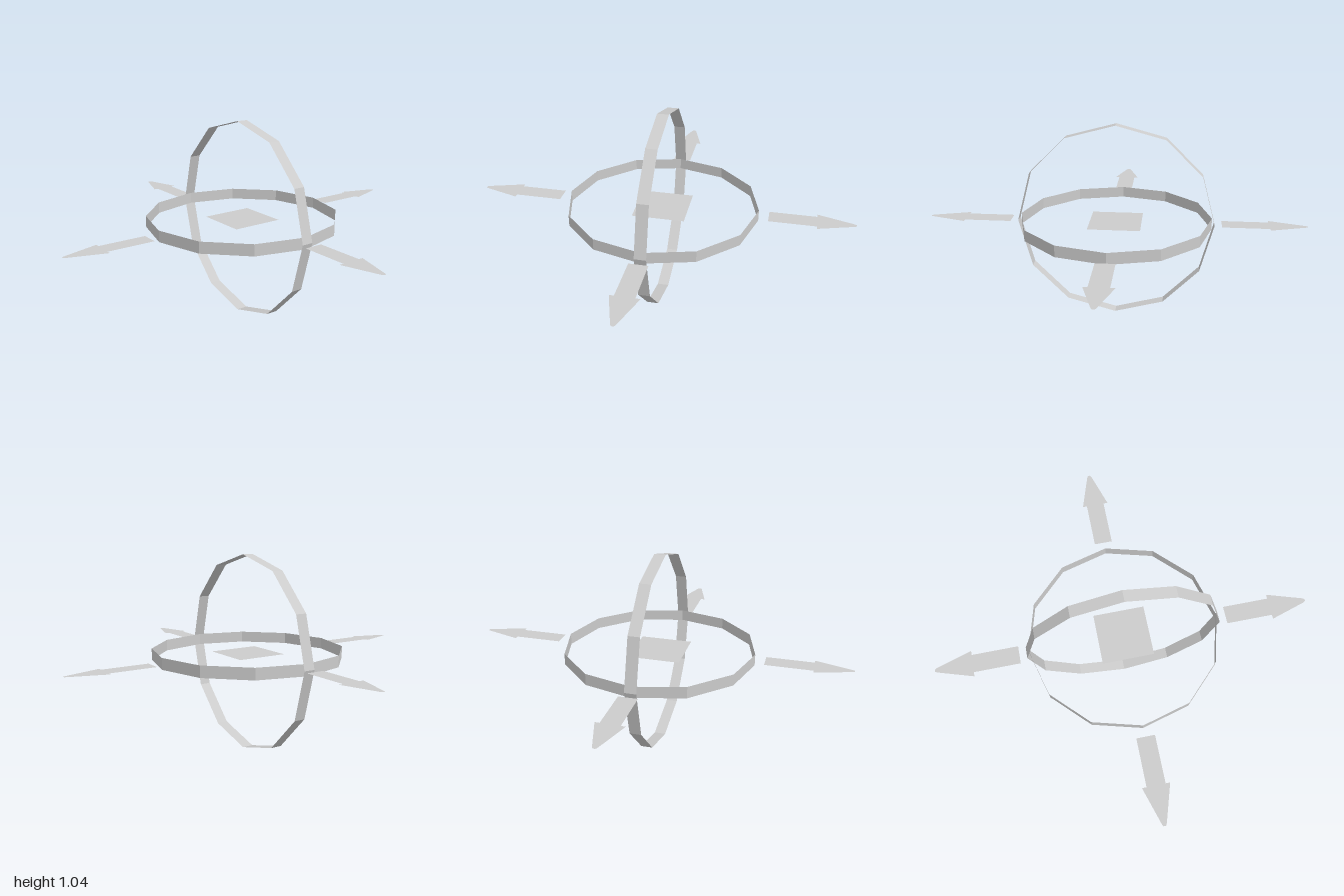
import * as THREE from 'three';

const CENTER_Y = 0.519;
const BAND = 0.06;

export function createModel() {
  const model = new THREE.Group();
  const material = new THREE.MeshStandardMaterial({
    color: 0xcccccc, flatShading: true, side: THREE.DoubleSide,
  });

  const add = (geometry, name) => {
    const mesh = new THREE.Mesh(geometry, material);
    mesh.name = name;
    mesh.position.y = CENTER_Y;
    model.add(mesh);
    return mesh;
  };

  // Twelve-sided paper-thin bands: one level, one upright
  const band = (radius) => new THREE.CylinderGeometry(radius, radius, BAND, 12, 1, true);
  add(band(0.505), 'horizontalRing');
  add(band(0.519).rotateX(Math.PI / 2), 'verticalRing');

  // Flat square in the middle
  add(new THREE.PlaneGeometry(0.274, 0.274).rotateX(-Math.PI / 2), 'centerSquare');

  // Flat arrow with a blunt tip, pointing outwards along +z
  const half = [[0.048, 0.557], [0.048, 0.803], [0.071, 0.803], [0.012, 0.99], [0.006, 1]];
  const mirrored = half.map(([x, d]) => [-x, d]).reverse();
  const outline = [...half, ...mirrored].map(([x, d]) => new THREE.Vector2(x + 0.002, -d));
  const arrow = new THREE.ShapeGeometry(new THREE.Shape(outline)).rotateX(-Math.PI / 2);

  ['frontArrow', 'leftArrow', 'backArrow', 'rightArrow'].forEach((name, i) => {
    add(arrow, name).rotation.y = (i * Math.PI) / 2;
  });

  return model;
}
